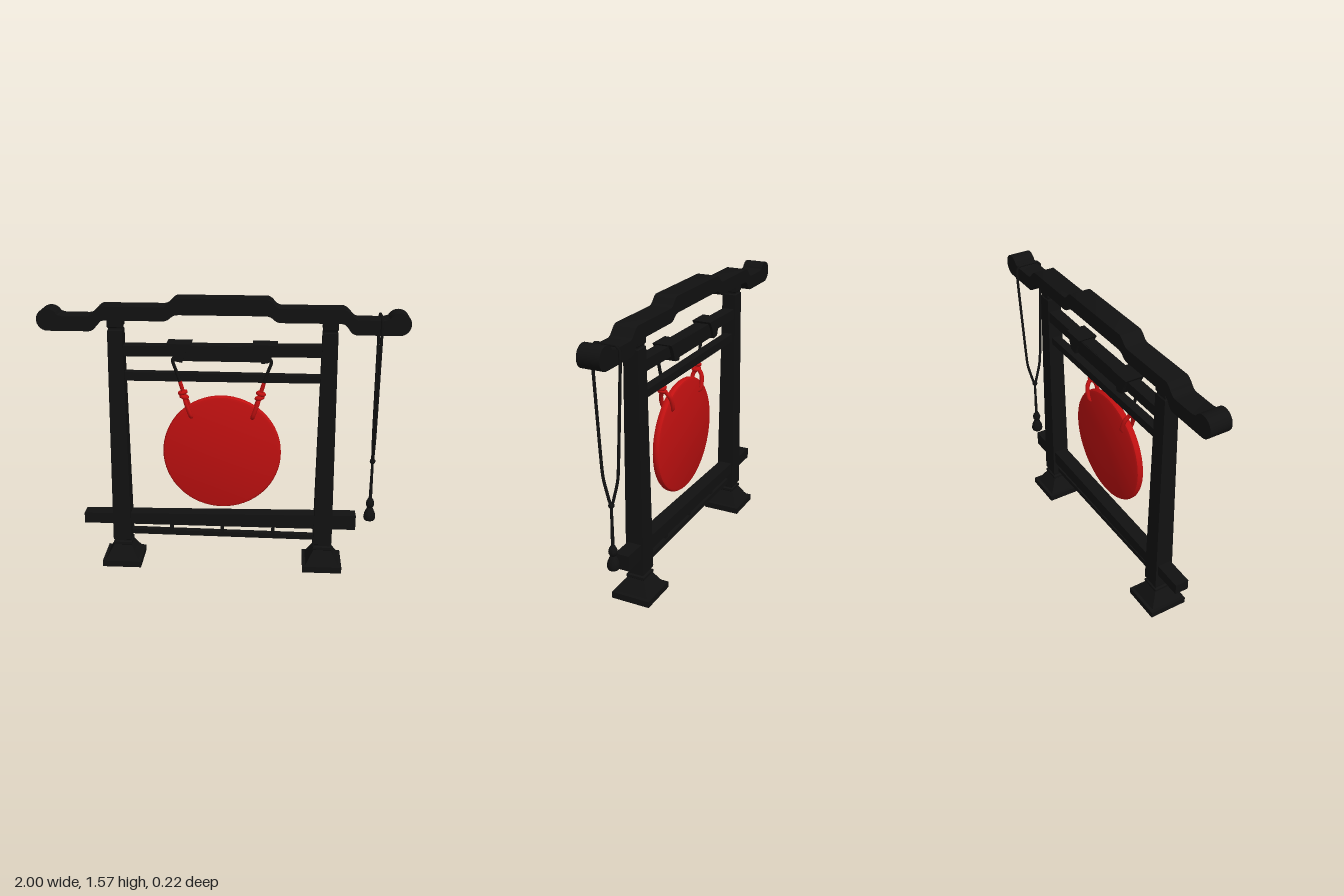
import * as THREE from 'three';
import { toCreasedNormals } from 'three/addons/utils/BufferGeometryUtils.js';

const black = new THREE.MeshStandardMaterial({ color: 0x111111 });
const red = new THREE.MeshStandardMaterial({ color: 0xc01010 });

export function createModel() {
  const model = new THREE.Group();

  const add = (name, geometry, material = black, parent = model) => {
    const mesh = new THREE.Mesh(geometry, material);
    mesh.name = name;
    parent.add(mesh);
    return mesh;
  };
  const crease = (g, angle = 0.6) => toCreasedNormals(g, angle);
  const v = (x, y, z) => new THREE.Vector3(x, y, z);

  // Shape in x-y, extruded symmetrically about z = 0
  const slab = (shape, depth) => {
    const g = new THREE.ExtrudeGeometry(shape, { depth, bevelEnabled: false, curveSegments: 12 });
    g.translate(0, 0, -depth / 2);
    return crease(g);
  };
  const polygon = (pts) => new THREE.Shape(pts.map(([x, y]) => new THREE.Vector2(x, y)));
  // Square stack from [half width, height] pairs
  const squareStack = (profile) => {
    const pts = profile.map(([h, y]) => new THREE.Vector2(h * Math.SQRT2, y));
    return crease(new THREE.LatheGeometry(pts, 4).rotateY(Math.PI / 4), 0.3);
  };
  const lathe = (profile, segments = 20) =>
    crease(new THREE.LatheGeometry(profile.map(([r, y]) => new THREE.Vector2(r, y)), segments));
  const rope = (pts, radius, closed = false, tension = 0.5) =>
    new THREE.TubeGeometry(new THREE.CatmullRomCurve3(pts, closed, 'catmullrom', tension), 64, radius, 8, closed);

  // Stepped top beam with rounded scroll ends
  const beam = new THREE.Shape();
  beam.moveTo(-0.94, 1.39);
  beam.lineTo(-0.72, 1.39);
  beam.bezierCurveTo(-0.67, 1.39, -0.68, 1.45, -0.63, 1.45);
  beam.lineTo(-0.32, 1.45);
  beam.bezierCurveTo(-0.27, 1.45, -0.28, 1.485, -0.23, 1.485);
  beam.lineTo(0.23, 1.485);
  beam.bezierCurveTo(0.28, 1.485, 0.27, 1.45, 0.32, 1.45);
  beam.lineTo(0.63, 1.45);
  beam.bezierCurveTo(0.68, 1.45, 0.67, 1.39, 0.72, 1.39);
  beam.lineTo(0.94, 1.39);
  beam.absarc(0.94, 1.45, 0.06, -Math.PI / 2, Math.PI * 0.85, false);
  beam.lineTo(0.86, 1.47);
  beam.lineTo(0.73, 1.47);
  beam.bezierCurveTo(0.69, 1.47, 0.69, 1.51, 0.65, 1.525);
  beam.lineTo(0.32, 1.525);
  beam.bezierCurveTo(0.28, 1.525, 0.28, 1.56, 0.245, 1.572);
  beam.lineTo(-0.245, 1.572);
  beam.bezierCurveTo(-0.28, 1.56, -0.28, 1.525, -0.32, 1.525);
  beam.lineTo(-0.65, 1.525);
  beam.bezierCurveTo(-0.69, 1.51, -0.69, 1.47, -0.73, 1.47);
  beam.lineTo(-0.86, 1.47);
  beam.absarc(-0.94, 1.45, 0.06, Math.PI * 0.15, Math.PI * 1.5, false);
  add('topBeam', slab(beam, 0.122));

  // Posts, feet, brackets and gong cords, one set per side
  for (const s of [-1, 1]) {
    const side = s < 0 ? 'right' : 'left';

    const post = new THREE.Group();
    post.name = side + 'Post';
    post.position.x = 0.58 * s;
    model.add(post);
    add('foot', squareStack([
      [0, 0], [0.112, 0], [0.112, 0.036], [0.095, 0.038], [0.078, 0.065], [0.058, 0.1], [0.048, 0.118], [0, 0.118],
    ]), black, post);
    add('collar', squareStack([
      [0, 0.11], [0.046, 0.11], [0.053, 0.118], [0.053, 0.132], [0.044, 0.138],
      [0.044, 0.145], [0.052, 0.15], [0.052, 0.16], [0.046, 0.166], [0, 0.166],
    ]), black, post);
    add('shaft', squareStack([
      [0, 0.155], [0.053, 0.16], [0.041, 1.39], [0.036, 1.396], [0.036, 1.404], [0.041, 1.41], [0.041, 1.46], [0, 1.46],
    ]), black, post);

    // Wedge bracket holding the cord
    const wedge = [[0.165, 1.325], [0.19, 1.29], [0.215, 1.222], [0.258, 1.23], [0.28, 1.29], [0.3, 1.325]];
    add(side + 'Bracket', slab(polygon(wedge.map(([x, y]) => [x * s, y])), 0.11));

    add(side + 'HangingCord', rope([
      v(0.2 * s, 1.25, 0.03), v(0.245 * s, 1.25, 0.035), v(0.268 * s, 1.232, 0.04),
      v(0.25 * s, 1.175, 0.043), v(0.224 * s, 1.095, 0.043),
    ], 0.009));
    add(side + 'RedCord', rope([
      v(0.23 * s, 1.115, 0.043), v(0.22 * s, 1.08, 0.044), v(0.208 * s, 1.04, 0.046),
    ], 0.011), red);

    // Knot made of two crossed rings
    for (const [dy, tilt] of [[-0.01, 0.25], [0.014, -0.25]]) {
      const ring = add(side + 'Knot', new THREE.TorusGeometry(0.017, 0.011, 8, 18), red);
      ring.position.set((0.21 + dy * 0.3) * s, 1.04 + dy, 0.05);
      ring.rotation.set(Math.PI / 2, tilt * s, 0);
    }

    // Loop through the gong's rim
    add(side + 'GongLoop', rope([
      v(0.206 * s, 1.03, 0.042), v(0.197 * s, 1.0, 0.064), v(0.18 * s, 0.95, 0.068), v(0.17 * s, 0.92, 0.06),
      v(0.168 * s, 0.913, 0.035), v(0.17 * s, 0.92, 0.01), v(0.18 * s, 0.95, 0.004), v(0.197 * s, 1.0, 0.012),
    ], 0.012, true), red);
  }

  // Gong: a thick disc with a softened rim
  const gong = add('gong', lathe([
    [0, 0.012], [0.31, 0.012], [0.324, 0.017], [0.33, 0.026], [0.33, 0.042], [0.324, 0.051], [0.31, 0.055], [0, 0.056],
  ], 64).rotateX(Math.PI / 2), red);
  gong.position.y = 0.703;

  // Rails between the posts, slightly irregular in height
  add('upperRail', slab(polygon([[-0.56, 1.248], [0.56, 1.258], [0.56, 1.32], [-0.56, 1.306]]), 0.07));
  add('hangerBar', slab(polygon([[-0.25, 1.228], [0.25, 1.228], [0.25, 1.312], [-0.25, 1.312]]), 0.08));
  add('middleRail', slab(polygon([[-0.56, 1.107], [0.56, 1.11], [0.56, 1.15], [-0.56, 1.156]]), 0.05));
  add('lowerBeam', slab(polygon([[-0.8, 0.245], [0.765, 0.245], [0.765, 0.332], [-0.8, 0.307]]), 0.08));
  add('bottomRail', slab(polygon([[-0.56, 0.174], [0.56, 0.165], [0.56, 0.192], [-0.56, 0.203]]), 0.04));
  for (const x of [-0.295, 0, 0.295]) {
    add('spindle', new THREE.BoxGeometry(0.02, 0.08, 0.03)).position.set(x, 0.22, 0);
  }

  // Cord looped over the beam, with a hanging tassel
  const px = 0.845;
  const half = [[0, 0.65], [0.022, 0.72], [0.044, 0.82], [0.06, 1.1], [0.074, 1.38], [0.074, 1.46], [0.062, 1.482]];
  const loop = half.map(([z, y]) => v(px, y, z));
  for (const [z, y] of half.slice(1).reverse()) loop.push(v(px, y, -z));
  add('beamCord', rope(loop, 0.008, true, 0.3));
  add('tasselCord', new THREE.CylinderGeometry(0.007, 0.01, 0.26, 8)).position.set(px, 0.53, 0);
  const bead = add('cordBead', new THREE.SphereGeometry(0.016, 14, 10));
  bead.position.set(px, 0.655, 0);
  const tassel = add('tassel', lathe([
    [0, 0.295], [0.029, 0.297], [0.034, 0.31], [0.031, 0.335], [0.02, 0.362], [0.014, 0.372],
    [0.022, 0.385], [0.024, 0.4], [0.018, 0.418], [0.01, 0.43], [0, 0.432],
  ]));
  tassel.position.x = px;

  return model;
}
